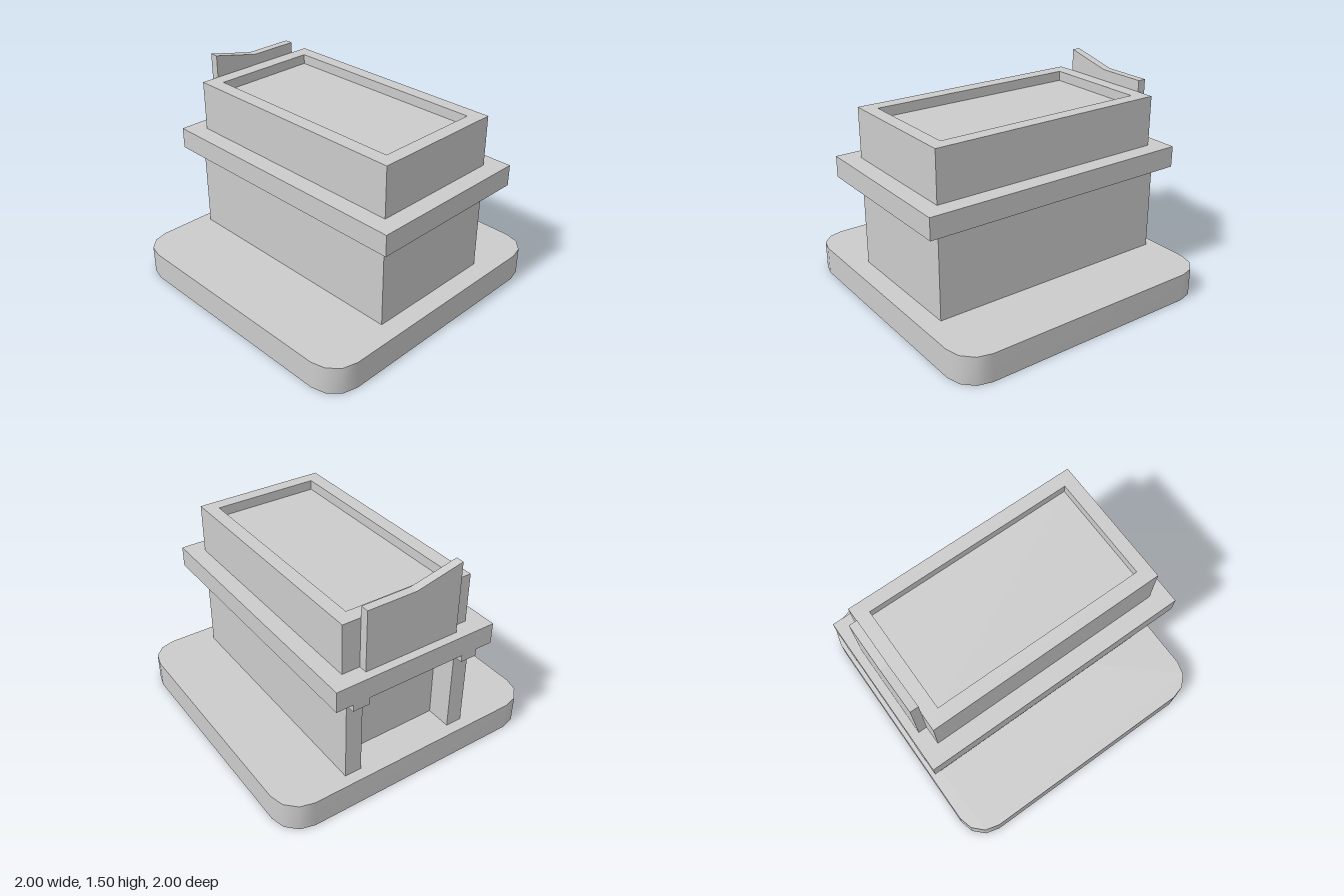
import * as THREE from 'three';

const grey = new THREE.MeshStandardMaterial({ color: 0xcccccc });
const greyThin = new THREE.MeshStandardMaterial({ color: 0xcccccc, side: THREE.DoubleSide });

// Plan outline from [x, z] points; plan z runs opposite to shape y.
const plan = (pts) => new THREE.Shape(pts.map(([x, z]) => new THREE.Vector2(x, -z)));
const rect = (x0, x1, z0, z1) => [[x0, z0], [x0, z1], [x1, z1], [x1, z0]];

function add(group, name, geometry, material = grey) {
  const mesh = new THREE.Mesh(geometry, material);
  mesh.name = name;
  group.add(mesh);
  return mesh;
}

// Raise a plan shape from y0 to y1.
function raise(shape, y0, y1) {
  const g = new THREE.ExtrudeGeometry(shape, { depth: y1 - y0, bevelEnabled: false });
  return g.rotateX(-Math.PI / 2).translate(0, y0, 0);
}

function block(x0, x1, y0, y1, z0, z1) {
  return new THREE.BoxGeometry(x1 - x0, y1 - y0, z1 - z0)
    .translate((x0 + x1) / 2, (y0 + y1) / 2, (z0 + z1) / 2);
}

// Square outline with three facets per rounded corner.
function roundedSquare(half, r, steps) {
  const pts = [];
  for (let c = 0; c < 4; c++) {
    const mid = Math.PI / 4 + c * Math.PI / 2;
    const cx = Math.sign(Math.cos(mid)) * (half - r);
    const cy = Math.sign(Math.sin(mid)) * (half - r);
    for (let i = 0; i <= steps; i++) {
      const a = (c + i / steps) * Math.PI / 2;
      pts.push(new THREE.Vector2(cx + r * Math.cos(a), cy + r * Math.sin(a)));
    }
  }
  return pts;
}

// Smooth wall following an outline.
function wall(outline, y0, y1) {
  const pos = [], index = [], n = outline.length;
  outline.forEach((p, i) => {
    pos.push(p.x, y0, -p.y, p.x, y1, -p.y);
    const a = 2 * i, b = 2 * ((i + 1) % n);
    index.push(a, b, b + 1, a, b + 1, a + 1);
  });
  const g = new THREE.BufferGeometry();
  g.setAttribute('position', new THREE.Float32BufferAttribute(pos, 3));
  g.setIndex(index);
  g.computeVertexNormals();
  return g;
}

export function createModel() {
  const model = new THREE.Group();
  model.name = 'building';

  // Plinth: hollow, open underneath
  const outline = roundedSquare(1, 0.2, 3);
  const base = new THREE.Group();
  base.name = 'base';
  add(base, 'baseWall', wall(outline, 0, 0.2), greyThin);
  add(base, 'baseTop',
    new THREE.ShapeGeometry(new THREE.Shape(outline)).rotateX(-Math.PI / 2).translate(0, 0.2, 0), greyThin);
  model.add(base);

  // Lower storey with a recessed entrance between two piers
  add(model, 'lowerStorey', raise(plan([
    [-0.92, -0.52], [-0.92, -0.40], [-0.74, -0.40], [-0.74, 0.32],
    [-0.92, 0.32], [-0.92, 0.44], [0.86, 0.44], [0.86, -0.52],
  ]), 0.2, 0.84));

  // Small brackets above the piers
  for (const z of [-0.52, 0.32]) {
    add(model, 'bracket', block(-0.99, -0.92, 0.79, 0.84, z, z + 0.12));
  }

  // Overhanging slab between the storeys
  add(model, 'overhang', block(-0.99, 0.985, 0.84, 0.99, -0.64, 0.565));

  // Upper storey with parapet and sunken roof
  const parapet = plan(rect(-0.87, 0.86, -0.52, 0.44));
  parapet.holes.push(plan(rect(-0.77, 0.765, -0.425, 0.34)));
  add(model, 'parapet', raise(parapet, 0.99, 1.345));
  add(model, 'roof', block(-0.77, 0.765, 0.99, 1.275, -0.425, 0.34));

  // Upright sign panel with a sloping top; profile drawn in z and y
  const profile = new THREE.Shape([
    [-0.31, 0.99], [0.39, 0.99], [0.39, 1.425], [0.035, 1.425], [-0.31, 1.505],
  ].map(([u, y]) => new THREE.Vector2(u, y)));
  add(model, 'signPanel',
    new THREE.ExtrudeGeometry(profile, { depth: 0.06, bevelEnabled: false })
      .rotateY(Math.PI / 2).translate(-0.93, 0, 0));

  return model;
}
